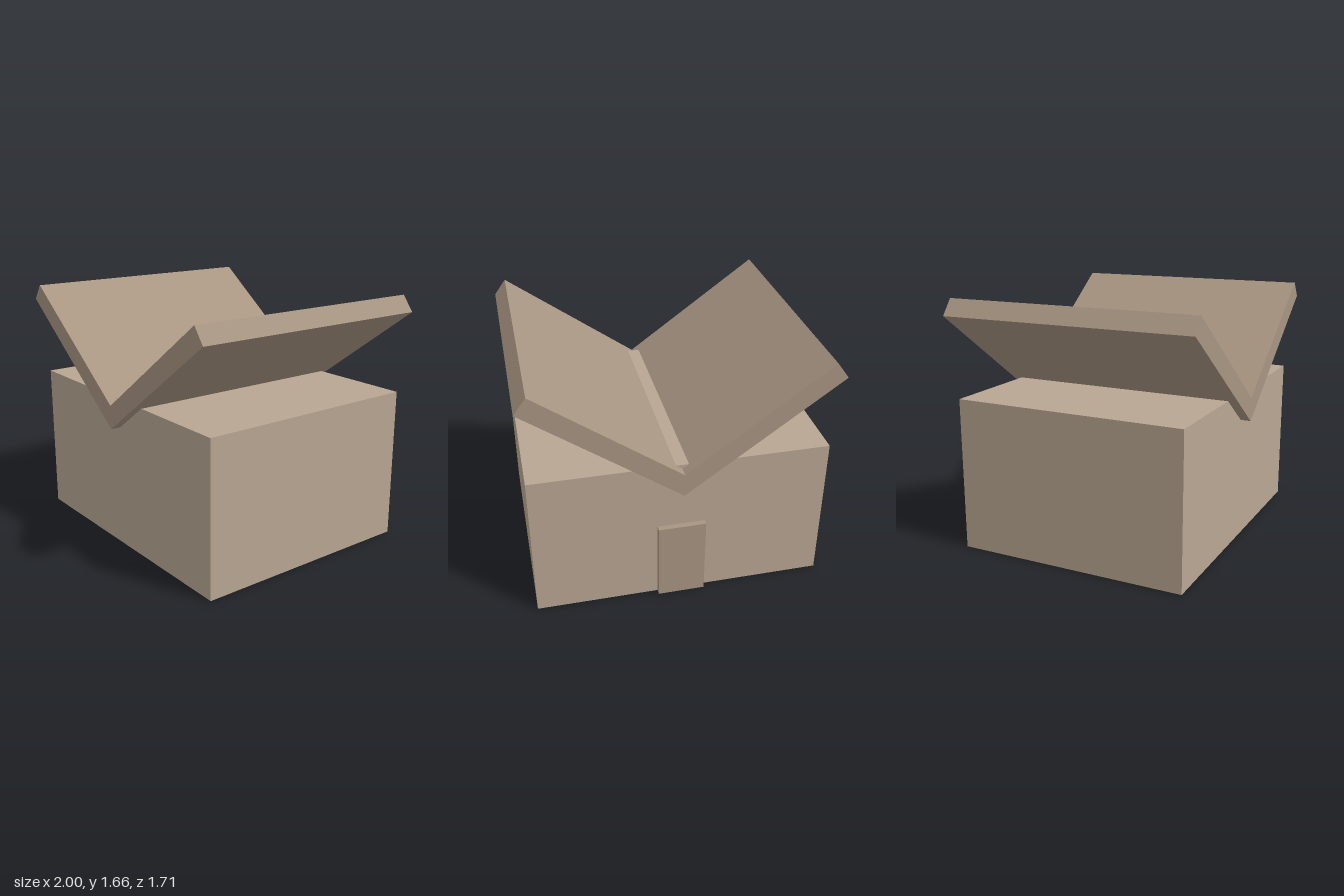
import * as THREE from 'three';

const wallMaterial = new THREE.MeshStandardMaterial({ color: 0xb8a692 });
const roofMaterial = new THREE.MeshStandardMaterial({ color: 0xa89582 });
const doorMaterial = new THREE.MeshStandardMaterial({ color: 0xa89582 });

// Box standing on y = 0
function standingBox(name, w, h, d, z, material) {
  const mesh = new THREE.Mesh(new THREE.BoxGeometry(w, h, d), material);
  mesh.position.set(0, h / 2, z);
  mesh.name = name;
  return mesh;
}

export function createModel() {
  const model = new THREE.Group();
  model.name = 'butterflyRoofHouse';

  // Main block; its top shows as a thin strip along the roof valley
  model.add(standingBox('walls', 1.945, 1.023, 1.568, 0, wallMaterial));

  // Door on the back wall
  model.add(standingBox('door', 0.315, 0.557, 0.04, -0.802, doorMaterial));

  // V-shaped roof: mirrored slab section extruded along z
  const half = [[1, 1.558], [0.922, 1.663]];
  const section = new THREE.Shape([
    new THREE.Vector2(0, 0.835),
    ...half.map(([x, y]) => new THREE.Vector2(x, y)),
    new THREE.Vector2(0, 0.993),
    ...half.slice().reverse().map(([x, y]) => new THREE.Vector2(-x, y)),
  ]);
  const depth = 1.706;
  const roofGeometry = new THREE.ExtrudeGeometry(section, { depth, bevelEnabled: false });
  roofGeometry.translate(0, 0, -depth / 2);
  const roof = new THREE.Mesh(roofGeometry, roofMaterial);
  roof.name = 'roof';
  model.add(roof);

  return model;
}
